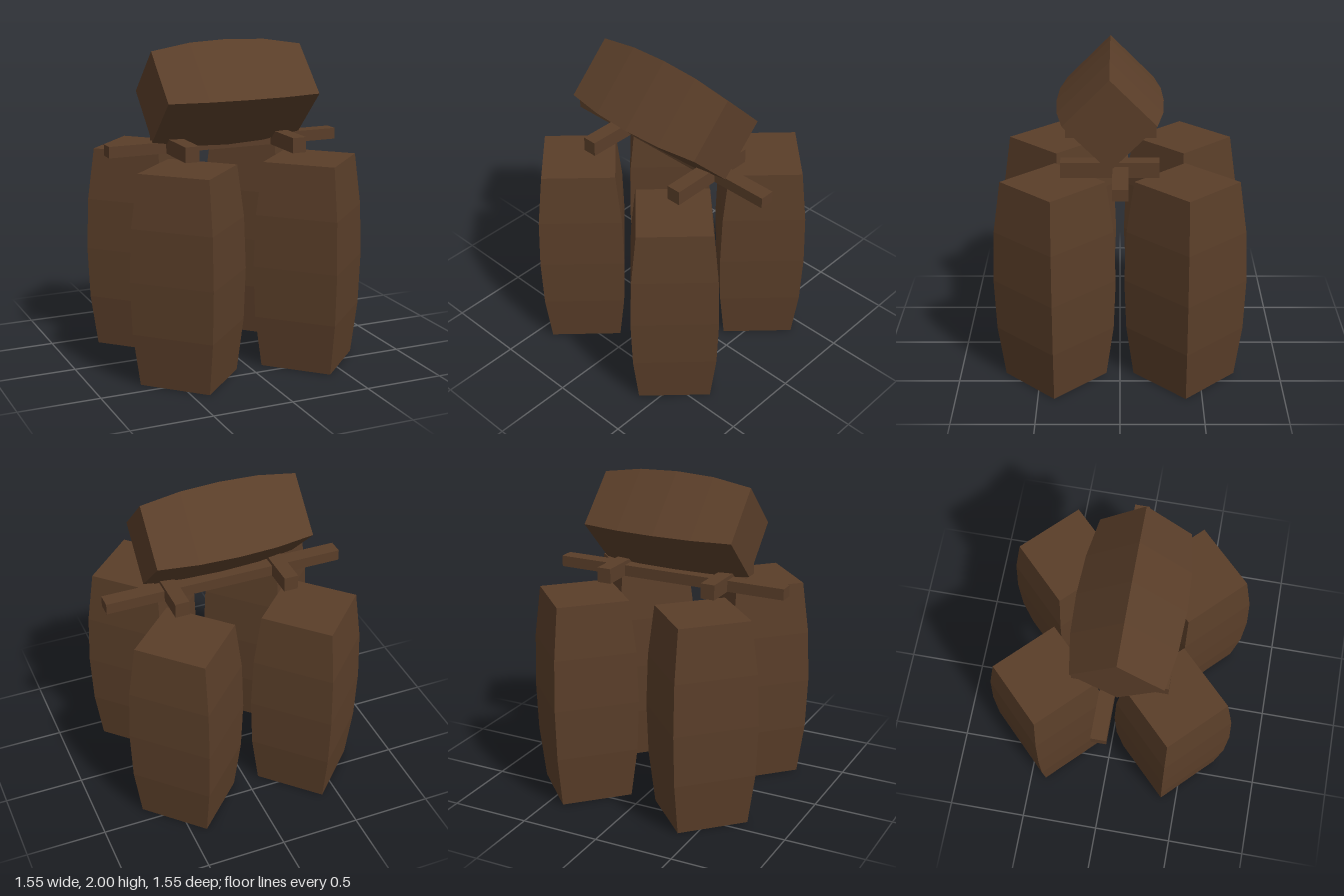
import * as THREE from 'three';

const wood = new THREE.MeshStandardMaterial({ color: 0x5a3e29, flatShading: true });
wood.name = 'dark brown wood';

// Four-sided bulging barrel; rings are [radius, height] from bottom to top
function makeBarrel(name, rings) {
  const points = [
    [0, rings[0][1]],
    ...rings,
    [0, rings[rings.length - 1][1]],
  ].map(([r, y]) => new THREE.Vector2(r, y));
  const mesh = new THREE.Mesh(new THREE.LatheGeometry(points, 4), wood);
  mesh.name = name;
  return mesh;
}

function makeBar(name, size, position) {
  const mesh = new THREE.Mesh(new THREE.BoxGeometry(...size), wood);
  mesh.name = name;
  mesh.position.set(...position);
  return mesh;
}

export function createModel() {
  const group = new THREE.Group();
  group.name = 'barrelStack';

  // Four standing barrels
  const standing = [[0.315, 0], [0.361, 0.324], [0.374, 0.648], [0.361, 0.971], [0.315, 1.295]];
  for (const [xName, x] of [['Left', 0.4], ['Right', -0.4]]) {
    for (const [zName, z] of [['front', 0.4], ['back', -0.4]]) {
      const barrel = makeBarrel(`${zName}${xName}Barrel`, standing);
      barrel.position.set(x, 0, z);
      group.add(barrel);
    }
  }

  // Cradle: one long plank with two cross pieces
  group.add(makeBar('plank', [1.53, 0.07, 0.094], [0, 1.355, -0.002]));
  group.add(makeBar('leftCrossPiece', [0.09, 0.094, 0.588], [0.353, 1.367, 0.06]));
  group.add(makeBar('rightCrossPiece', [0.09, 0.094, 0.588], [-0.353, 1.367, 0.06]));

  // Barrel lying on top
  const lying = [[0.276, -0.494], [0.316, -0.247], [0.327, 0], [0.316, 0.247], [0.276, 0.494]];
  const topBarrel = makeBarrel('lyingBarrel', lying);
  topBarrel.rotation.z = Math.PI / 2;
  topBarrel.position.set(0, 1.673, 0.06);
  group.add(topBarrel);

  return group;
}
